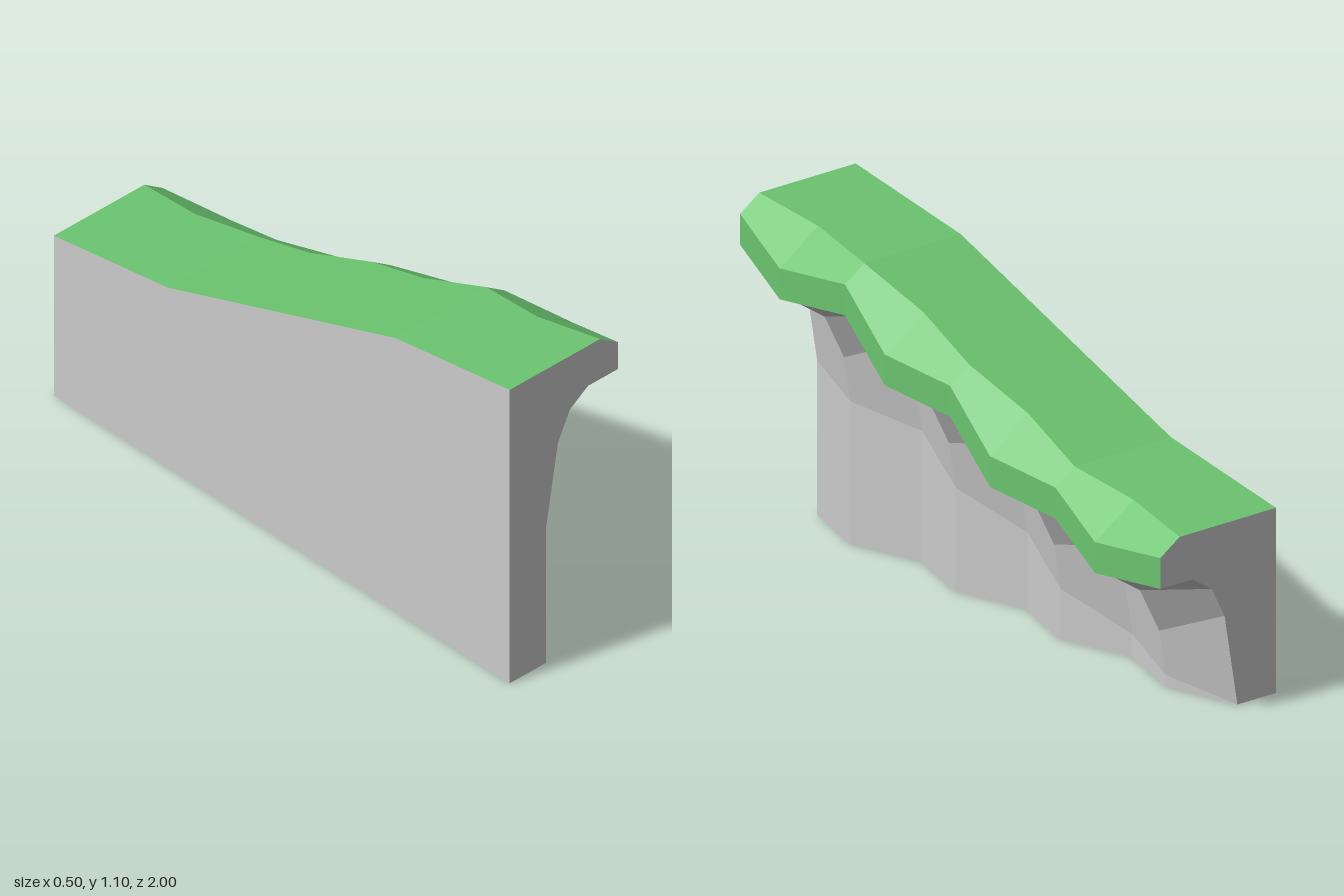
import * as THREE from 'three';

// Height of the walking surface at each station from front to back
const HEIGHTS = [1.1, 1.0625, 1.025, 0.9375, 0.85, 0.7625, 0.675, 0.6375, 0.6];
const STEP = 0.25;

// Cross-sections as [x, drop below top]; they alternate to give the scalloped cliff
const RECESS = [[-0.25, 0], [0.125, 0], [0.2, 0.05], [0.2, 0.15], [0.075, 0.15], [0, 0.2], [-0.05, 0.3], [-0.1, 0.6]];
const BULGE = [[-0.25, 0], [0.1, 0], [0.25, 0.1], [0.25, 0.2], [0.225, 0.2], [0.075, 0.3], [0, 0.45], [-0.025, 0.6]];
const GRASS_EDGES = 4; // top, bevel, lip and underside of the lip

function section(i) {
  const h = HEIGHTS[i];
  const pts = (i % 2 ? BULGE : RECESS).map(([x, drop]) => [x, Math.max(0, h - drop)]);
  pts.push([pts[pts.length - 1][0], 0], [-0.25, 0]);
  return pts;
}

// Skin a range of profile edges through all stations
function loft(sections, from, to) {
  const pos = [];
  for (let i = 0; i < sections.length - 1; i++) {
    for (let k = from; k < to; k++) {
      const corner = (s, p) => {
        const pts = sections[s];
        const [x, y] = pts[p % pts.length];
        return [x, y, 1 - s * STEP];
      };
      const a = corner(i, k), b = corner(i, k + 1);
      const c = corner(i + 1, k + 1), d = corner(i + 1, k);
      pos.push(...a, ...b, ...c, ...a, ...c, ...d);
    }
  }
  const geo = new THREE.BufferGeometry();
  geo.setAttribute('position', new THREE.Float32BufferAttribute(pos, 3));
  geo.computeVertexNormals();
  return geo;
}

// Flat end face; the back one is mirrored and then turned round
function endCap(pts, back) {
  const shape = new THREE.Shape(pts.map(([x, y]) => new THREE.Vector2(back ? -x : x, y)));
  const geo = new THREE.ShapeGeometry(shape).translate(0, 0, 1);
  return back ? geo.rotateY(Math.PI) : geo;
}

export function createModel() {
  const group = new THREE.Group();
  group.name = 'cliffSlope';
  const rock = new THREE.MeshStandardMaterial({ color: 0xcccccc, flatShading: true });
  const grass = new THREE.MeshStandardMaterial({ color: 0x6cc570, flatShading: true });
  const add = (name, geo, mat) => {
    const mesh = new THREE.Mesh(geo, mat);
    mesh.name = name;
    group.add(mesh);
  };

  const sections = HEIGHTS.map((_, i) => section(i));
  const count = sections[0].length;

  // Overhanging turf
  add('grassTop', loft(sections, 0, GRASS_EDGES), grass);
  // Scalloped cliff face, base and flat back wall
  add('rockFace', loft(sections, GRASS_EDGES, count), rock);
  // End faces
  add('frontEnd', endCap(sections[0], false), rock);
  add('backEnd', endCap(sections[sections.length - 1], true), rock);
  return group;
}
